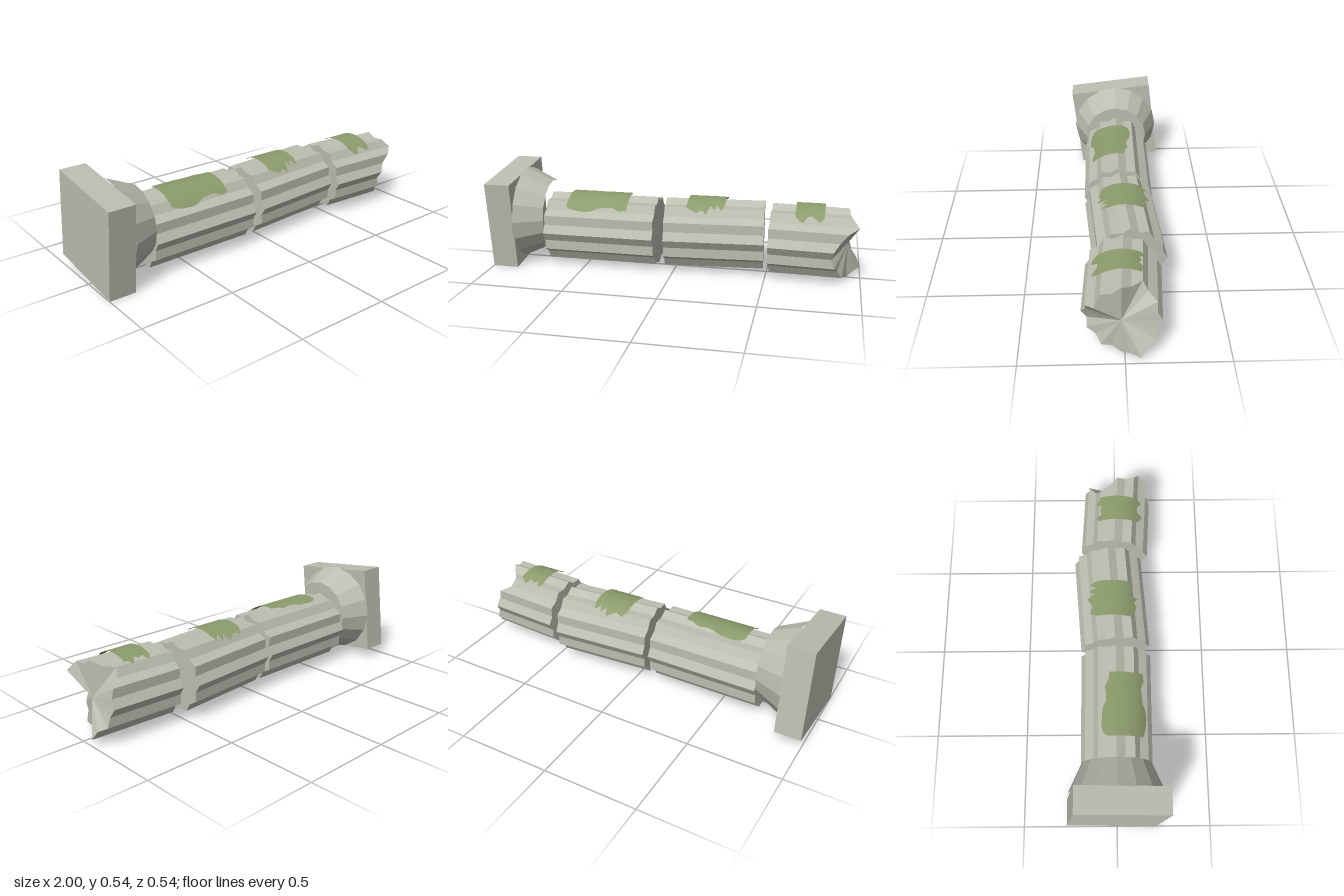
import * as THREE from 'three';

const stone = new THREE.MeshStandardMaterial({ color: 0xbbbeb0, flatShading: true });
const moss = new THREE.MeshStandardMaterial({ color: 0x8c9c6c, side: THREE.DoubleSide });

const FLUTES = 12, R_PEAK = 0.19, R_VALLEY = 0.17, AXIS_Y = 0.2;

// Fluted drum lying along +x from its origin; endShift pushes each rim point to break the far end
function drum(name, length, x, z, yaw, endShift) {
  const n = FLUTES * 2;
  const geo = new THREE.CylinderGeometry(R_PEAK, R_PEAK, length, n, 1)
    .rotateZ(-Math.PI / 2).translate(length / 2, 0, 0).toNonIndexed();
  const p = geo.attributes.position;
  for (let i = 0; i < p.count; i++) {
    const px = p.getX(i), py = p.getY(i), pz = p.getZ(i);
    if (Math.hypot(py, pz) < 0.01) continue;
    const k = (Math.round(Math.atan2(py, pz) / (Math.PI * 2) * n) + n) % n;
    const s = k % 2 ? R_VALLEY / R_PEAK : 1;
    const dx = endShift && px > length / 2 ? endShift[k] : 0;
    p.setXYZ(i, px + dx, py * s, pz * s);
  }
  geo.computeVertexNormals();
  const mesh = new THREE.Mesh(geo, stone);
  mesh.name = name;
  mesh.position.set(x, AXIS_Y, z);
  mesh.rotation.y = yaw;
  return mesh;
}

// Curved moss sheet over the top of a drum; each row is [x, back z, front z]
function mossPatch(name, rows, zAxis) {
  const r = 0.2, segs = 10, pos = [], index = [];
  rows.forEach(([x, back, front], i) => {
    const a0 = Math.asin((back - zAxis) / r), a1 = Math.asin((front - zAxis) / r);
    for (let j = 0; j <= segs; j++) {
      const a = a0 + (a1 - a0) * j / segs;
      pos.push(x, AXIS_Y + r * Math.cos(a), zAxis + r * Math.sin(a));
      if (i && j) {
        const d = i * (segs + 1) + j, c = d - 1, b = d - segs - 1, e = b - 1;
        index.push(e, b, d, e, d, c);
      }
    }
  });
  const geo = new THREE.BufferGeometry();
  geo.setAttribute('position', new THREE.Float32BufferAttribute(pos, 3));
  geo.setIndex(index);
  geo.computeVertexNormals();
  const mesh = new THREE.Mesh(geo, moss);
  mesh.name = name;
  return mesh;
}

export function createModel() {
  const group = new THREE.Group();
  group.name = 'fallenColumn';

  // Capital: tilted square slab and a flared open collar
  const slab = new THREE.Mesh(new THREE.BoxGeometry(0.14, 0.483, 0.483), stone);
  slab.name = 'capitalSlab';
  slab.position.set(-0.93, 0.27, 0);
  slab.rotation.x = 0.119;
  const collar = new THREE.Mesh(
    new THREE.CylinderGeometry(0.184, 0.253, 0.153, 16, 1, true).rotateZ(-Math.PI / 2), stone);
  collar.name = 'capitalCollar';
  collar.position.set(-0.786, 0.27, 0);
  group.add(slab, collar);

  // Shaft drums, the last one snapped off; rim shifts start at the front and go over the top
  const broken = [
    -0.06, -0.03, 0.01, 0.06, 0.02, 0.01, 0, -0.04, -0.085, -0.07, -0.02, -0.01,
    -0.005, 0.005, 0.02, 0.05, 0.07, 0.04, 0.005, -0.01, -0.015, -0.04, -0.055, -0.07];
  group.add(
    drum('lowerDrum', 0.61, -0.71, 0, 0),
    drum('middleDrum', 0.535, -0.055, -0.002, 0.075),
    drum('brokenDrum', 0.4, 0.525, -0.005, -0.055, broken));

  // Moss
  group.add(
    mossPatch('lowerMoss', [
      [-0.59, -0.05, 0.135], [-0.57, -0.07, 0.145], [-0.53, -0.078, 0.152], [-0.48, -0.075, 0.155],
      [-0.44, -0.07, 0.15], [-0.41, -0.055, 0.137], [-0.37, -0.052, 0.133], [-0.33, -0.06, 0.13],
      [-0.29, -0.04, 0.145], [-0.25, -0.035, 0.14]], 0),
    mossPatch('middleMoss', [
      [0.07, -0.1, 0.09], [0.09, -0.14, 0.1], [0.13, -0.125, 0.115], [0.155, -0.14, 0.1],
      [0.18, -0.155, 0.12], [0.2, -0.115, 0.07], [0.22, -0.145, 0.095], [0.235, -0.11, 0.065],
      [0.26, -0.14, 0.1], [0.275, -0.1, 0.06]], -0.022),
    mossPatch('upperMoss', [
      [0.65, -0.085, 0.125], [0.67, -0.105, 0.145], [0.69, -0.075, 0.155], [0.715, -0.085, 0.125],
      [0.735, -0.07, 0.12], [0.76, -0.105, 0.14], [0.78, -0.085, 0.15], [0.8, -0.08, 0.125]], 0.008));
  return group;
}
